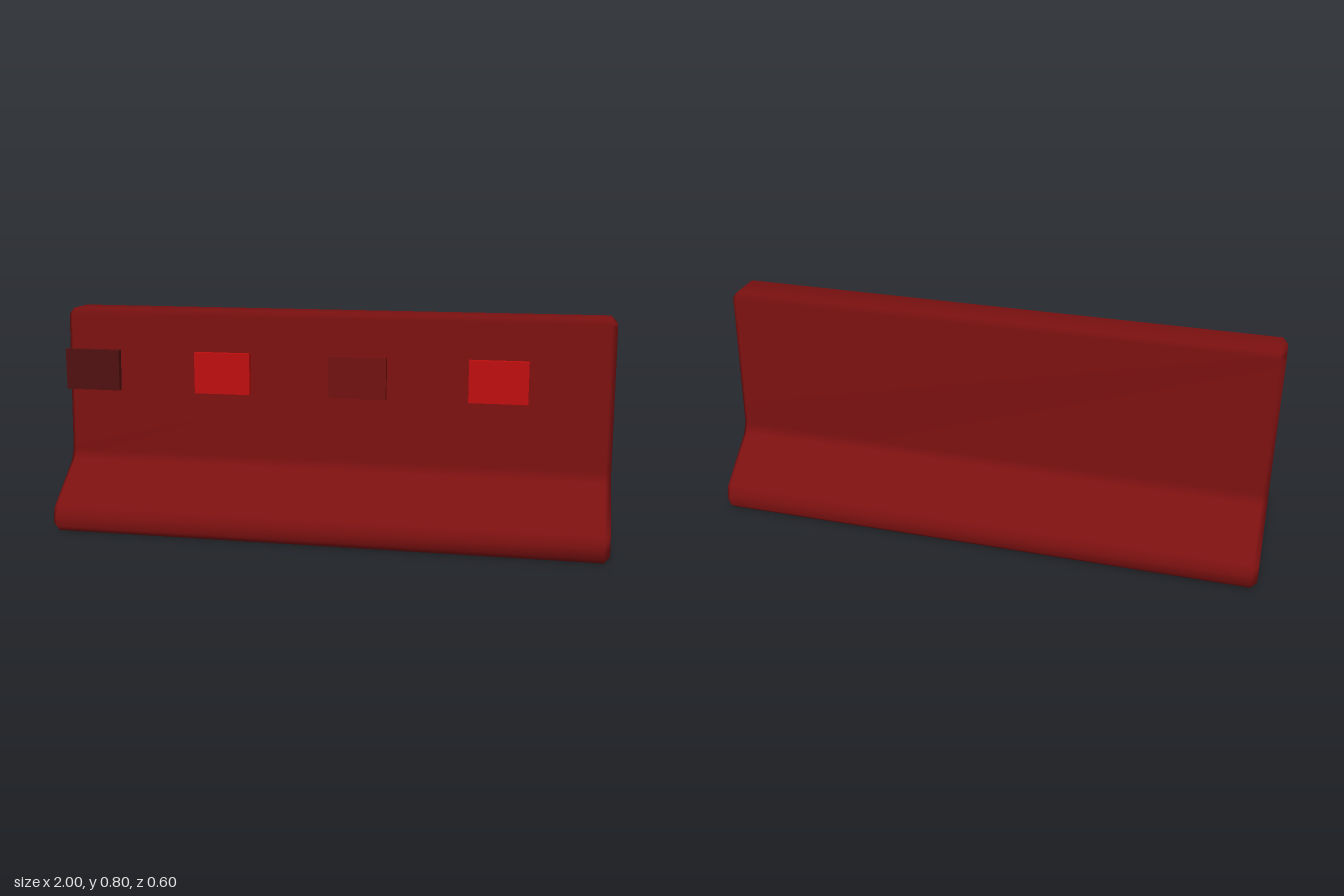
import * as THREE from 'three';
import { mergeVertices } from 'three/addons/utils/BufferGeometryUtils.js';

function material(name, color) {
  const m = new THREE.MeshStandardMaterial({ color });
  m.name = name;
  return m;
}

export function createModel() {
  const group = new THREE.Group();
  group.name = 'roadBarrier';

  const barrierRed = material('barrier red', 0x7a1010);
  const brightRed = material('bright red', 0xbf0e0e);
  const darkRed = material('dark red', 0x521010);
  const dullRed = material('dull red', 0x721111);

  // Barrier body: mirrored profile, chamfered along every edge
  const half = [
    [0.28, 0], [0.3, 0.02], [0.3, 0.06], [0.285, 0.095],
    [0.115, 0.235], [0.1, 0.27], [0.08, 0.78], [0.06, 0.8],
  ];
  const mirrored = half.map(([x, y]) => [-x, y]).reverse();
  const shape = new THREE.Shape([...half, ...mirrored].map(([x, y]) => new THREE.Vector2(x, y)));
  const extruded = new THREE.ExtrudeGeometry(shape, {
    depth: 1.96, bevelEnabled: true, bevelThickness: 0.02,
    bevelSize: 0.02, bevelOffset: -0.02, bevelSegments: 1,
  });
  extruded.translate(0, 0, -0.98).rotateY(Math.PI / 2);

  // Area-weighted smooth normals keep the wide faces flat and the chamfers soft
  extruded.deleteAttribute('normal');
  extruded.deleteAttribute('uv');
  extruded.clearGroups();
  const bodyGeometry = mergeVertices(extruded, 1e-4);
  bodyGeometry.computeVertexNormals();
  const body = new THREE.Mesh(bodyGeometry, barrierRed);
  body.name = 'barrierBody';
  group.add(body);

  // Row of reflector blocks on the front wall
  const blockGeometry = new THREE.BoxGeometry(0.208, 0.15, 0.03);
  [darkRed, brightRed, dullRed, brightRed].forEach((mat, i) => {
    const block = new THREE.Mesh(blockGeometry, mat);
    block.name = `reflector${i + 1}`;
    block.position.set(-0.896 + i * 0.5, 0.575, 0.095);
    group.add(block);
  });

  return group;
}
